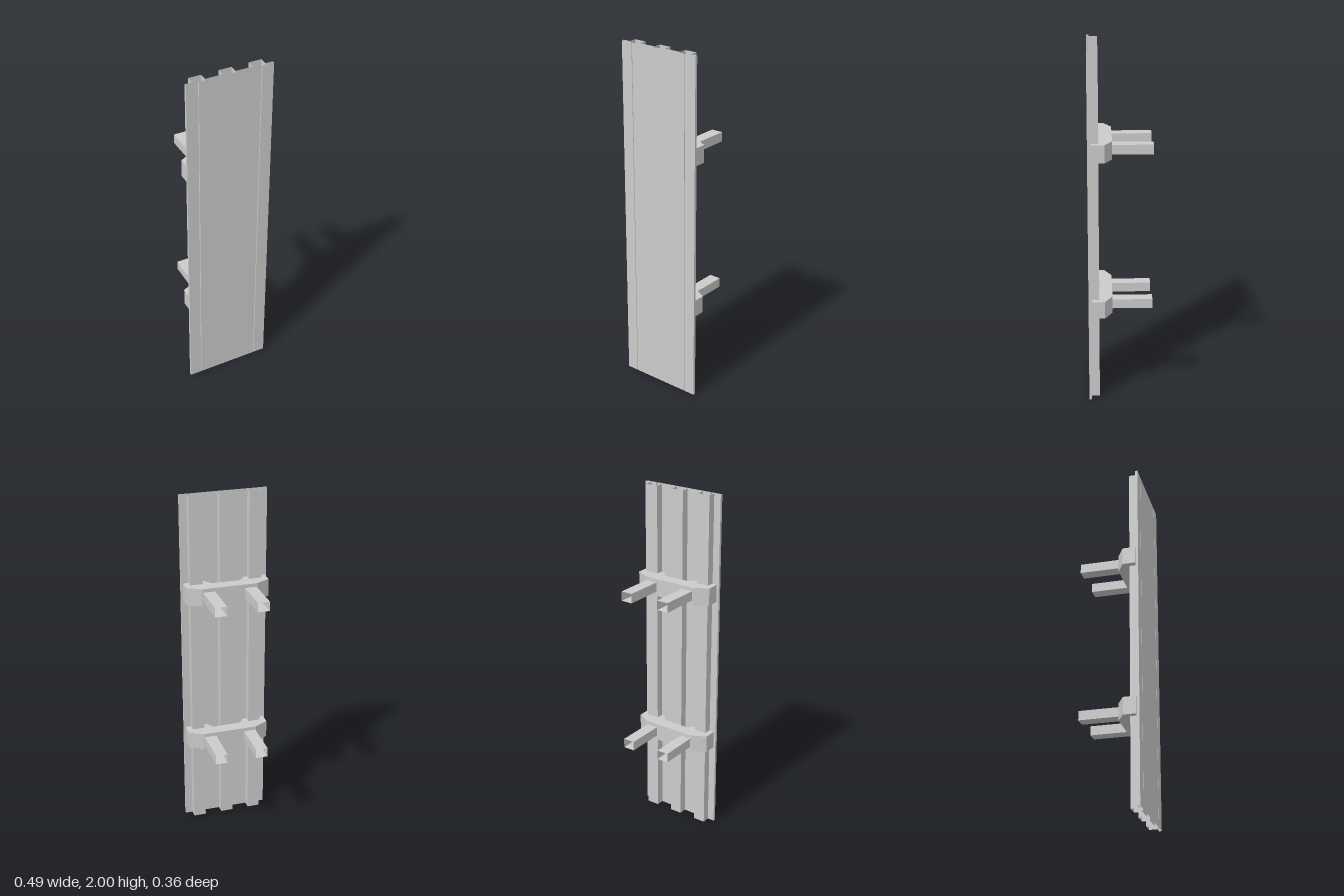
import * as THREE from 'three';

const solid = new THREE.MeshStandardMaterial({ color: 0xcccccc, flatShading: true });
const sheet = new THREE.MeshStandardMaterial({ color: 0xcccccc, flatShading: true, side: THREE.DoubleSide });

// Thin open-ended wall: sweeps a closed [a, b] outline along a third axis.
// place(a, b, t) turns outline point and sweep position into x, y, z.
function sweepWall(outline, from, to, place) {
  const positions = [];
  outline.forEach(([a, b], i) => {
    const [c, d] = outline[(i + 1) % outline.length];
    const p = place(a, b, from), q = place(c, d, from);
    const r = place(c, d, to), s = place(a, b, to);
    positions.push(...p, ...q, ...r, ...p, ...r, ...s);
  });
  const geometry = new THREE.BufferGeometry();
  geometry.setAttribute('position', new THREE.Float32BufferAttribute(positions, 3));
  geometry.computeVertexNormals();
  return geometry;
}

// Panel section: flat face with two hairline joints, ribbed back
function panelOutline() {
  const face = 0.18, back = 0.165, ribBack = 0.12, halfRib = 0.036;
  const points = [[-0.247, face]];
  for (const x of [-0.178, 0.178]) {
    points.push([x - 0.002, face], [x, face - 0.01], [x + 0.002, face]);
  }
  points.push([0.247, face], [0.247, back]);
  for (const x of [0.17, 0, -0.17]) {
    points.push([x + halfRib, back], [x + halfRib, ribBack], [x - halfRib, ribBack], [x - halfRib, back]);
  }
  points.push([-0.247, back]);
  return points;
}

// Cross bracket, chamfered behind and recessed in front
function bracketGeometry(height) {
  const half = [[0.08, 0.117], [0.113, 0.16], [0.237, 0.16], [0.237, 0.088], [0.157, 0.045]];
  const mirrored = half.map(([x, z]) => [-x, z]).reverse();
  const shape = new THREE.Shape([...half, ...mirrored].map(([x, z]) => new THREE.Vector2(x, -z)));
  const geometry = new THREE.ExtrudeGeometry(shape, { depth: height, bevelEnabled: false });
  return geometry.rotateX(-Math.PI / 2);
}

export function createModel() {
  const model = new THREE.Group();
  model.name = 'wallPanel';

  const add = (parent, geometry, material, name) => {
    const mesh = new THREE.Mesh(geometry, material);
    mesh.name = name;
    parent.add(mesh);
    return mesh;
  };

  add(model, sweepWall(panelOutline(), 0, 2, (x, z, y) => [x, y, z]), sheet, 'ribbedPanel');

  // Hollow strut, open at the rear
  const w = 0.034, h = 0.027;
  const strut = sweepWall([[-w, -h], [w, -h], [w, h], [-w, h]], 0.046, -0.18, (x, y, z) => [x, y, z]);
  const bracket = bracketGeometry(0.1);

  // Two mounts, each a bracket with a pair of struts
  for (const [level, y] of [['lower', 0.5], ['upper', 1.4]]) {
    const mount = new THREE.Group();
    mount.name = level + 'Mount';
    mount.position.y = y;
    add(mount, bracket, solid, level + 'Bracket');
    for (const [side, x] of [['Left', 0.119], ['Right', -0.119]]) {
      add(mount, strut, sheet, level + side + 'Strut').position.set(x, 0.052, 0);
    }
    model.add(mount);
  }
  return model;
}
